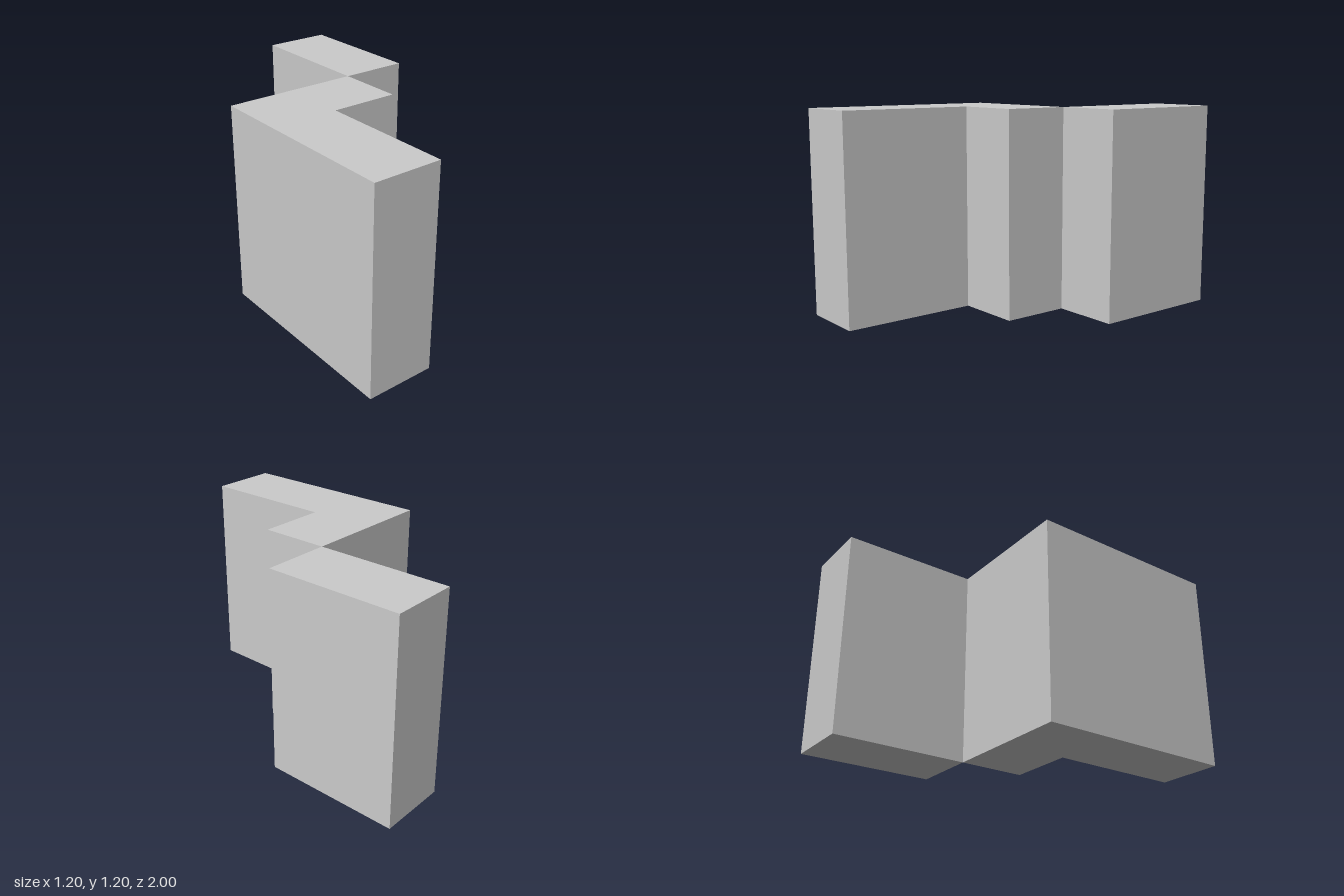
import * as THREE from 'three';

const HEIGHT = 1.2;

// Upright block from a floor plan given as [x, z] corners
function wall(name, plan, material) {
  const shape = new THREE.Shape(plan.map(([x, z]) => new THREE.Vector2(x, -z)));
  const geometry = new THREE.ExtrudeGeometry(shape, { depth: HEIGHT, bevelEnabled: false });
  geometry.rotateX(-Math.PI / 2);
  const mesh = new THREE.Mesh(geometry, material);
  mesh.name = name;
  return mesh;
}

export function createModel() {
  const group = new THREE.Group();
  group.name = 'steppedWall';
  const material = new THREE.MeshStandardMaterial({ color: 0xcccccc, flatShading: true });

  // L-shaped block: long arm to the front, short arm to the left
  group.add(wall('cornerBlock', [
    [-0.6, 1], [-0.2, 1], [-0.2, 0.2], [0.2, 0.2], [0.2, -0.2], [-0.6, -0.2],
  ], material));

  // Straight block behind, meeting the corner block along one vertical edge
  group.add(wall('rearBlock', [
    [0.2, -0.2], [0.6, -0.2], [0.6, -1], [0.2, -1],
  ], material));

  return group;
}
